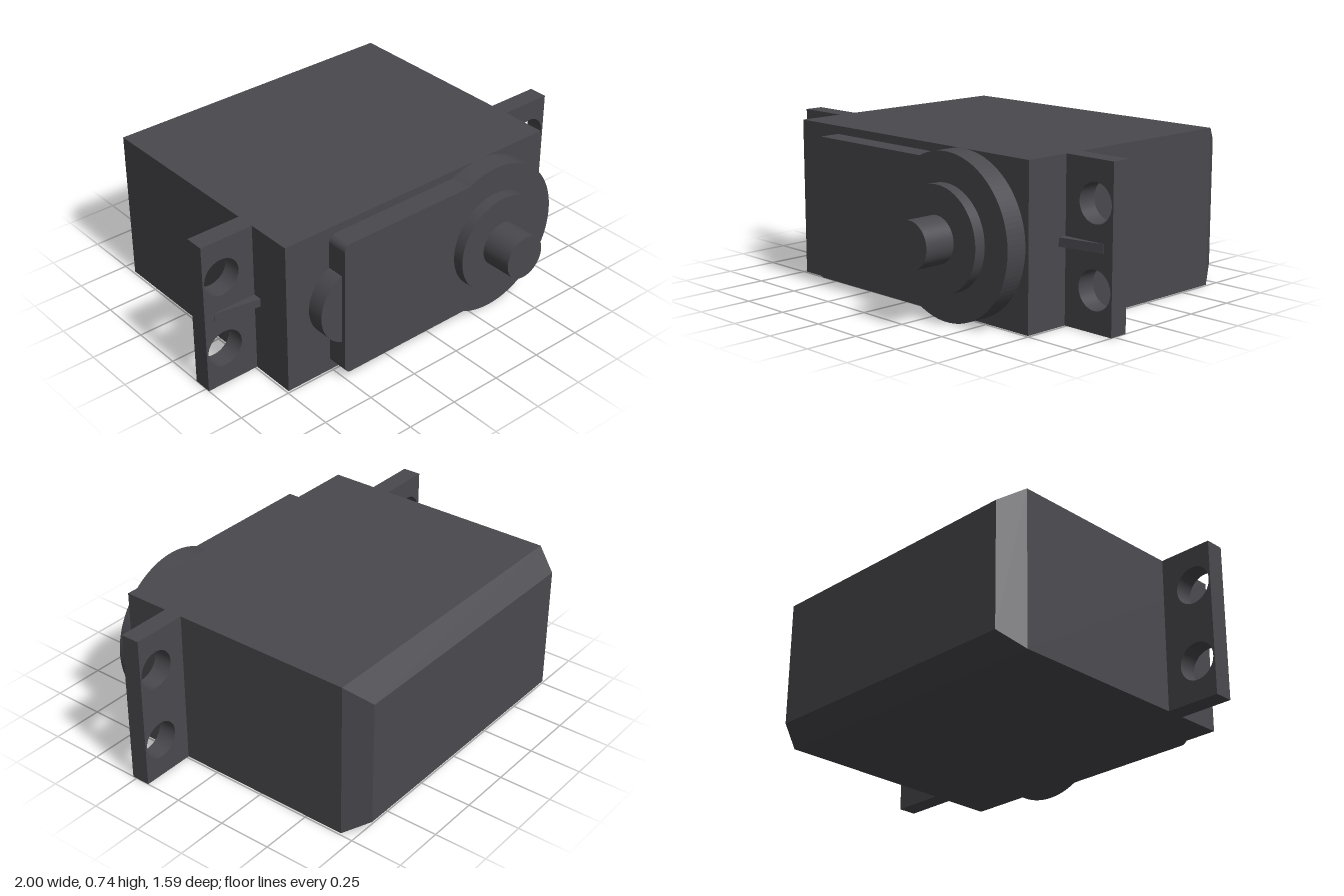
import * as THREE from 'three';

const H = 0.735, MID = H / 2;

export function createModel() {
  const model = new THREE.Group();
  const plastic = new THREE.MeshStandardMaterial({ color: 0x4a494e });
  plastic.name = 'charcoal plastic';

  const add = (name, geometry, x = 0, y = 0, z = 0) => {
    const mesh = new THREE.Mesh(geometry, plastic);
    mesh.name = name;
    mesh.position.set(x, y, z);
    model.add(mesh);
    return mesh;
  };
  const extrude = (shape, depth) =>
    new THREE.ExtrudeGeometry(shape, { depth, bevelEnabled: false, curveSegments: 32 });
  // Round part along z, from z0 to z1
  const disc = (name, r, x, z0, z1) =>
    add(name, new THREE.CylinderGeometry(r, r, z1 - z0, 64).rotateX(Math.PI / 2), x, MID, (z0 + z1) / 2);

  // Case: a box whose rear end tapers inward
  const zs = [0.49, -0.685, -0.795];
  let box = new THREE.BoxGeometry(1.48, H, 2, 1, 1, 2);
  const p = box.attributes.position;
  for (let i = 0; i < p.count; i++) {
    const row = Math.round(1 - p.getZ(i));
    if (row === 2) {
      p.setX(i, Math.sign(p.getX(i)) * 0.67);
      p.setY(i, Math.sign(p.getY(i)) * (MID - 0.072));
    }
    p.setZ(i, zs[row]);
  }
  box = box.toNonIndexed();
  box.computeVertexNormals();
  add('case', box, 0, MID, 0);

  // Gear cover: rounded plate that swells into a circle around the shaft
  const cx = 0.355, R = MID, left = -0.51, half = 0.33, c = 0.035;
  const a = Math.PI - Math.asin(half / R);
  const cover = new THREE.Shape();
  cover.moveTo(left + c, -half);
  cover.lineTo(cx + R * Math.cos(a), -half);
  cover.absarc(cx, 0, R, -a, a, false);
  cover.lineTo(left + c, half);
  cover.absarc(left + c, half - c, c, Math.PI / 2, Math.PI, false);
  cover.lineTo(left, -half + c);
  cover.absarc(left + c, -half + c, c, Math.PI, Math.PI * 1.5, false);
  add('gearCover', extrude(cover, 0.107), 0, MID, 0.485);

  // Round bosses and the output shaft
  disc('sideBoss', 0.186, -0.436, 0.48, 0.572);
  disc('shaftCollar', 0.235, cx, 0.57, 0.645);
  disc('outputShaft', 0.105, cx, 0.63, 0.795);

  // Mounting ears with two screw holes and a tapered rib each
  for (const [side, s] of [['left', 1], ['right', -1]]) {
    const ear = new THREE.Shape();
    const x0 = s > 0 ? 0.735 : -1, x1 = s > 0 ? 1 : -0.735;
    ear.moveTo(x0, 0);
    ear.lineTo(x1, 0);
    ear.lineTo(x1, H);
    ear.lineTo(x0, H);
    ear.closePath();
    for (const y of [MID - 0.183, MID + 0.183]) {
      const hole = new THREE.Path();
      hole.absarc(s * 0.904, y, 0.088, 0, Math.PI * 2, true);
      ear.holes.push(hole);
    }
    add(side + 'Ear', extrude(ear, 0.09), 0, 0, 0.18);

    // Wedge drawn in x and -z, then turned so it extrudes along y
    const rib = new THREE.Shape();
    rib.moveTo(s * 0.735, -0.265);
    rib.lineTo(s * 0.95, -0.265);
    rib.lineTo(s * 0.95, -0.272);
    rib.lineTo(s * 0.735, -0.312);
    rib.closePath();
    add(side + 'Rib', extrude(rib, 0.04).rotateX(-Math.PI / 2), 0, MID - 0.02, 0);
  }
  return model;
}
